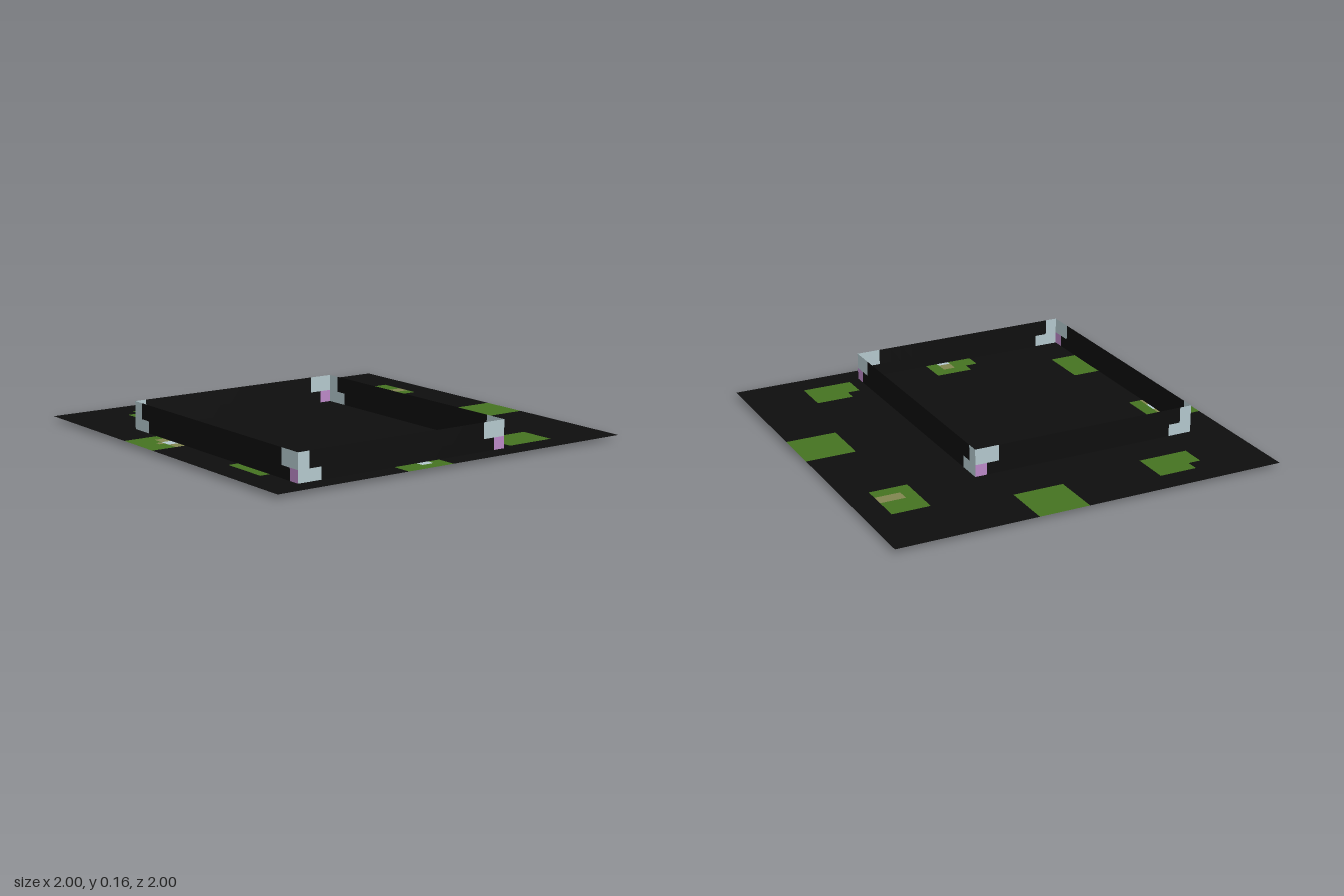
import * as THREE from 'three';

const flat = (name, color) => {
  const m = new THREE.MeshStandardMaterial({ color, side: THREE.DoubleSide });
  m.name = name;
  return m;
};

// Flat sheet divided into cells; rects [x0, y0, x1, y1, material] count cells from the top left.
function paintedSheet(name, width, height, cols, rows, materials, rects) {
  const geo = new THREE.PlaneGeometry(width, height, cols, rows);
  const source = geo.index.array;
  const buckets = materials.map(() => []);
  for (let r = 0; r < rows; r++) {
    for (let c = 0; c < cols; c++) {
      let paint = 0;
      for (const [x0, y0, x1, y1, m] of rects) {
        if (c >= x0 && c < x1 && r >= y0 && r < y1) paint = m;
      }
      const start = (r * cols + c) * 6;
      for (let k = 0; k < 6; k++) buckets[paint].push(source[start + k]);
    }
  }
  geo.setIndex(buckets.flat());
  let offset = 0;
  buckets.forEach((b, i) => {
    if (b.length) geo.addGroup(offset, b.length, i);
    offset += b.length;
  });
  const mesh = new THREE.Mesh(geo, materials);
  mesh.name = name;
  return mesh;
}

export function createModel() {
  const group = new THREE.Group();
  group.name = 'groundWithFence';

  const materials = [
    flat('black', 0x0d0d0d),
    flat('leafGreen', 0x457321),
    flat('tan', 0x80854f),
    flat('paleBlue', 0xb3c7cc),
    flat('lilac', 0xba88c6),
  ];
  const [BLACK, GREEN, TAN, PALE, LILAC] = [0, 1, 2, 3, 4];

  // Ground sheet: 31 units a side, with leaf patches, notches and small flowers
  const patches = [
    [5, 2, 9, 5, GREEN], [5, 2, 6, 3, BLACK],
    [16, 0, 20, 4, GREEN],
    [26, 5, 29, 9, GREEN], [27, 7, 29, 8, TAN],
    [27, 16, 31, 20, GREEN],
    [22, 26, 26, 29, GREEN], [22, 26, 23, 27, BLACK],
    [11, 27, 15, 31, GREEN], [11, 27, 12, 28, BLACK],
    [13, 28, 14, 29, TAN], [13, 29, 14, 30, PALE],
    [2, 22, 5, 26, GREEN],
    [0, 11, 4, 15, GREEN], [2, 12, 3, 15, TAN],
    [1.5, 13, 2, 13.5, TAN], [2, 13, 3, 14, PALE],
  ].map(([a, b, c, d, m]) => [a * 2, b * 2, c * 2, d * 2, m]);
  const ground = paintedSheet('ground', 2, 2, 62, 62, materials, patches);
  ground.rotation.x = -Math.PI / 2;
  ground.position.y = 0.02;
  group.add(ground);

  // Thin upright walls around an off-centre rectangle
  const x0 = -0.82, x1 = 0.36, z0 = -0.49, z1 = 0.895, h = 0.16;
  const cx = (x0 + x1) / 2, cz = (z0 + z1) / 2;

  for (const [name, z] of [['frontWall', z1], ['backWall', z0]]) {
    const wall = paintedSheet(name, x1 - x0, h, 19, 2, materials, [
      [0, 0, 1, 1, PALE], [0, 1, 2, 2, PALE],
      [17, 0, 19, 1, PALE], [18, 1, 19, 2, LILAC],
    ]);
    wall.position.set(cx, h / 2, z);
    group.add(wall);
  }
  for (const [name, x] of [['leftWall', x1], ['rightWall', x0]]) {
    const wall = paintedSheet(name, z1 - z0, h, 22, 2, materials, [
      [0, 0, 2, 1, PALE], [0, 1, 1, 2, LILAC],
      [21, 0, 22, 1, PALE], [20, 1, 22, 2, PALE],
    ]);
    wall.rotation.y = Math.PI / 2;
    wall.position.set(x, h / 2, cz);
    group.add(wall);
  }
  return group;
}
